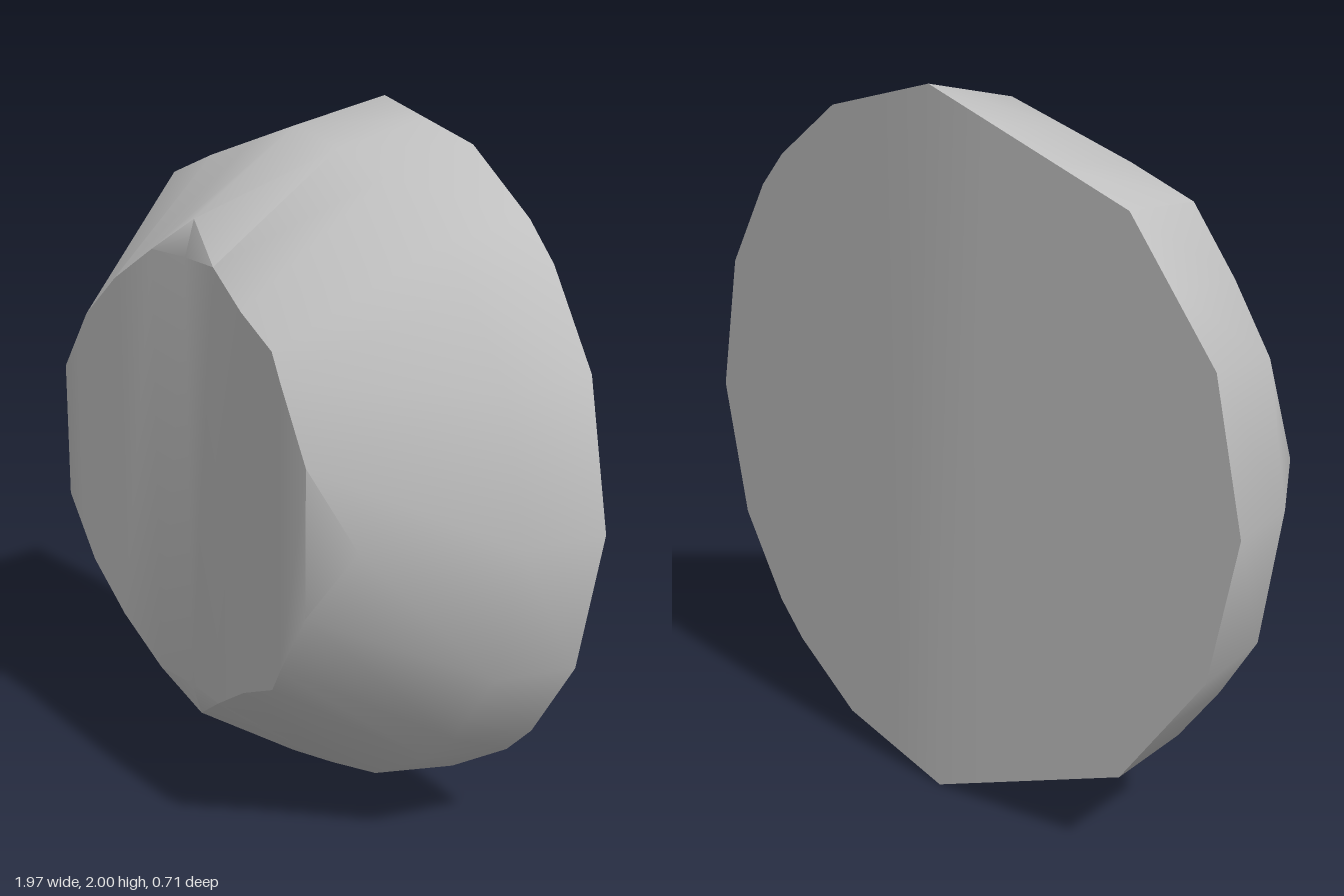
import * as THREE from 'three';
import { toCreasedNormals } from 'three/addons/utils/BufferGeometryUtils.js';

// Upper quarter outlines [x, y], from the top point to the side point
const OUTLINES = {
  back: {
    right: [[0, 2], [0.2, 1.955], [0.4, 1.91], [0.64, 1.75], [0.74, 1.65], [0.9, 1.4], [0.985, 1]],
    left: [[0, 2], [-0.21, 1.918], [-0.42, 1.836], [-0.64, 1.75], [-0.77, 1.575], [-0.9, 1.4], [-0.985, 1]],
    z: (x) => -0.36 + 0.057 * Math.abs(x),
  },
  middle: {
    right: [[0, 1.94], [0.19, 1.9], [0.39, 1.85], [0.61, 1.71], [0.71, 1.61], [0.865, 1.38], [0.94, 1]],
    left: [[0, 1.94], [-0.21, 1.875], [-0.42, 1.81], [-0.625, 1.735], [-0.76, 1.56], [-0.875, 1.38], [-0.94, 1]],
    z: (x) => -0.05 - 0.01 * Math.abs(x),
  },
  front: {
    right: [[0, 1.72], [0.15, 1.62], [0.29, 1.53], [0.44, 1.46], [0.48, 1.39], [0.6, 1.2], [0.72, 1]],
    left: [[0, 1.72], [-0.15, 1.62], [-0.33, 1.51], [-0.48, 1.38], [-0.54, 1.29], [-0.6, 1.2], [-0.72, 1]],
    // the face is slightly dished, with its four tips bent back
    z: (x) => (x === 0 || Math.abs(x) > 0.7 ? 0.28 : 0.31 + 0.072 * Math.abs(x)),
  },
};

const flip = ([x, y, z]) => [x, 2 - y, z];

// Upper half of an outline, from -x to +x
function upperHalf({ right, left, z }) {
  return [...left.slice(1).reverse(), ...right].map(([x, y]) => [x, y, z(x)]);
}

// Whole closed outline, clockwise as seen from the front
function ring(half) {
  return [...half, ...half.slice(1, -1).reverse().map(flip)];
}

function createBody() {
  const pos = [];
  const same = (a, b) => a.every((v, i) => Math.abs(v - b[i]) < 1e-6);
  const tri = (a, b, c) => {
    if (!same(a, b) && !same(b, c) && !same(c, a)) pos.push(...a, ...b, ...c);
  };
  const quad = (a, b, c, d) => { tri(a, b, c); tri(a, c, d); };

  const back = upperHalf(OUTLINES.back);
  const middle = upperHalf(OUTLINES.middle);
  const front = upperHalf(OUTLINES.front);

  // Sloping sides
  const loft = (f, b) => f.forEach((p, i) => {
    const j = (i + 1) % f.length;
    quad(p, f[j], b[j], b[i]);
  });
  loft(ring(middle), ring(back));
  loft(ring(front), ring(middle));

  // Back, in vertical strips
  for (let i = 0; i < back.length - 1; i++) {
    const a = back[i], b = back[i + 1];
    quad(a, b, flip(b), flip(a));
  }

  // Front, in vertical strips, with a tip triangle at top and bottom
  const centre = 6;
  const tip = front[centre];
  const cols = front.slice();
  cols[centre] = [0, 1.62, 0.31];
  for (let i = 0; i < cols.length - 1; i++) {
    const a = cols[i], b = cols[i + 1];
    quad(flip(a), flip(b), b, a);
  }
  for (const [a, b] of [[cols[centre - 1], cols[centre]], [cols[centre], cols[centre + 1]]]) {
    tri(a, b, tip);
    tri(flip(b), flip(a), flip(tip));
  }

  const geo = new THREE.BufferGeometry();
  geo.setAttribute('position', new THREE.Float32BufferAttribute(pos, 3));
  return toCreasedNormals(geo, 0.72);
}

export function createModel() {
  const group = new THREE.Group();
  const grey = new THREE.MeshStandardMaterial({ color: 0xc0c0c0 });
  grey.name = 'light grey';
  const body = new THREE.Mesh(createBody(), grey);
  body.name = 'body';
  group.add(body);
  return group;
}
